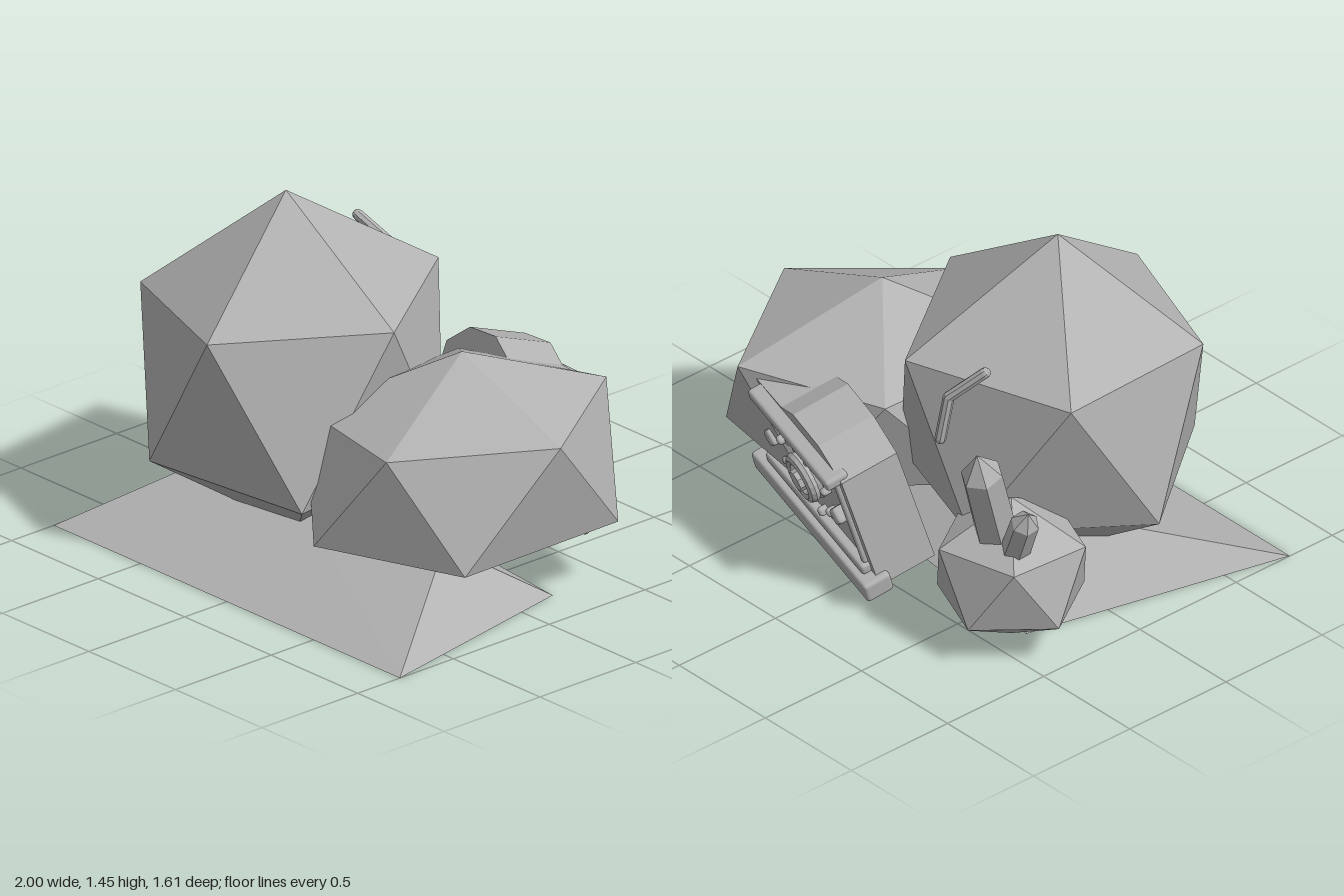
import * as THREE from 'three';
import { ConvexGeometry } from 'three/addons/geometries/ConvexGeometry.js';
import { RoundedBoxGeometry } from 'three/addons/geometries/RoundedBoxGeometry.js';

const V = (p) => new THREE.Vector3(...p);

export function createModel() {
  const model = new THREE.Group();
  const stone = new THREE.MeshStandardMaterial({ color: 0xb2b2b2, flatShading: true });
  stone.name = 'grey stone';

  function add(name, geometry, parent = model, position = [0, 0, 0]) {
    const mesh = new THREE.Mesh(geometry, stone);
    mesh.name = name;
    mesh.position.set(...position);
    parent.add(mesh);
    return mesh;
  }

  // Convex solid through a handful of corner points
  const hull = (name, points) => add(name, new ConvexGeometry(points.map(V)));

  // Ground wedge: four corners on the floor and a short ridge
  hull('groundWedge', [
    [-1, 0, 0.78], [1, 0, 0.78], [0.8, 0, -0.2], [-0.73, 0, -0.35],
    [-0.6, 0.3, 0.05], [0.57, 0.24, 0.16],
  ]);

  // Large boulder: twenty-sided stone
  hull('largeBoulder', [
    [-0.35, 1.445, 0.155],
    [-0.81, 1.01, 0.5], [-0.17, 1.015, 0.73], [0.27, 1.04, 0.15], [-0.16, 1.04, -0.47], [-0.88, 1.05, -0.25],
    [-0.525, 0.405, 0.71], [0.18, 0.36, 0.55], [0.12, 0.4, -0.24], [-0.52, 0.41, -0.46], [-0.945, 0.395, 0.15],
    [-0.34, 0, 0.1],
  ]);

  // Medium boulder
  hull('mediumBoulder', [
    [0.435, 0.955, -0.055],
    [0.59, 0.69, 0.48], [1, 0.725, -0.06], [0.6, 0.725, -0.66], [0, 0.72, -0.43], [0, 0.695, 0.37],
    [0.27, 0.26, 0.57], [0.89, 0.26, 0.34], [0.89, 0.265, -0.46], [0.28, 0.29, -0.58], [-0.12, 0.26, -0.04],
    [0.44, 0.03, -0.04],
  ]);

  // Small boulder carrying the crystals
  const c = [-0.69, 0.315, -0.39];
  const small = [[c[0], 0.63, c[2]], [c[0], 0.002, c[2]]];
  for (let i = 0; i < 10; i++) {
    const a = THREE.MathUtils.degToRad(-68 + 36 * i);
    small.push([c[0] + 0.3 * Math.cos(a), c[1] + (i % 2 ? -0.14 : 0.14), c[2] + 0.3 * Math.sin(a)]);
  }
  hull('smallBoulder', small);

  // Stand a geometry built along y between two points
  function between(mesh, a, b) {
    const from = V(a), dir = V(b).sub(from);
    mesh.quaternion.setFromUnitVectors(new THREE.Vector3(0, 1, 0), dir.clone().normalize());
    mesh.position.copy(from);
    return dir.length();
  }

  // Six-sided crystals with pointed tips
  function crystal(name, base, tip, r, point) {
    const length = V(base).distanceTo(V(tip));
    const profile = [[0, 0], [r, 0], [r * 0.95, length - point], [0, length]];
    const mesh = add(name, new THREE.LatheGeometry(profile.map((p) => new THREE.Vector2(...p)), 6));
    between(mesh, base, tip);
  }
  crystal('tallCrystal', [-0.7, 0.42, -0.45], [-0.74, 0.945, -0.615], 0.09, 0.11);
  crystal('shortCrystal', [-0.8, 0.45, -0.48], [-0.95, 0.74, -0.535], 0.06, 0.07);

  // Bent twig behind the large boulder
  const twig = [[-0.4, 0.81, -0.5], [-0.42, 1.0, -0.475], [-0.53, 1.125, -0.385]];
  for (let i = 0; i < 2; i++) {
    const length = V(twig[i]).distanceTo(V(twig[i + 1]));
    const geometry = new THREE.CapsuleGeometry(0.023, length, 3, 8).translate(0, length / 2, 0);
    between(add('twigSegment', geometry), twig[i], twig[i + 1]);
  }

  // Carved panel leaning on the back; its local z points out of the face
  const panel = new THREE.Group();
  panel.name = 'carvedPanel';
  const right = V([-0.965, -0.12, -0.22]).normalize();
  const out = new THREE.Vector3().crossVectors(right, V([-0.09, 0.94, -0.32])).normalize();
  const up = new THREE.Vector3().crossVectors(out, right);
  panel.quaternion.setFromRotationMatrix(new THREE.Matrix4().makeBasis(right, up, out));
  panel.position.set(0.22, 0.4, -0.62);
  model.add(panel);

  // Slab with a raised crown
  const outline = [[-0.44, -0.28], [0.44, -0.28], [0.35, 0.24], [0.2, 0.33], [0, 0.34], [-0.12, 0.28], [-0.34, 0.27]];
  const slab = new THREE.Shape(outline.map((p) => new THREE.Vector2(...p)));
  add('panelSlab', new THREE.ExtrudeGeometry(slab, { depth: 0.25, bevelEnabled: false }), panel, [0, 0, -0.25]);

  // Rails above and below the face
  const rail = (name, w, h, d, pos) => add(name, new RoundedBoxGeometry(w, h, d, 2, 0.015), panel, pos);
  rail('upperRail', 0.64, 0.05, 0.1, [0.02, 0.245, 0.01]);
  rail('lowerRail', 0.92, 0.09, 0.12, [0, -0.27, 0.01]);
  rail('lowerRailStep', 0.78, 0.05, 0.08, [0.01, -0.205, 0.0]);
  for (const s of [-1, 1]) {
    const frame = rail('sideFrame', 0.03, 0.42, 0.03, [s * 0.34, 0.015, 0.005]);
    frame.rotation.z = s * 0.17;
  }

  // Round boss with a ring and hub
  const disc = (name, r, d, sides) =>
    add(name, new THREE.CylinderGeometry(r, r * 1.08, d, sides).rotateX(Math.PI / 2), panel, [0, 0, d / 2]);
  disc('bossPlate', 0.1, 0.03, 20);
  add('bossRing', new THREE.TorusGeometry(0.085, 0.025, 8, 20), panel, [0, 0, 0.035]);
  disc('bossHub', 0.045, 0.07, 8);

  // Studs around the boss
  for (let i = 0; i < 8; i++) {
    const a = ((i + 0.5) * Math.PI) / 4;
    const stud = rail('stud', 0.04, 0.03, 0.05, [0.19 * Math.cos(a), 0.155 * Math.sin(a), 0.015]);
    stud.rotation.z = a;
  }

  // Diamond tiles on either side
  for (const s of [-1, 1]) {
    const tile = rail('diamondTile', 0.07, 0.07, 0.06, [s * 0.265, 0, 0.015]);
    tile.rotation.z = Math.PI / 4;
  }

  return model;
}
